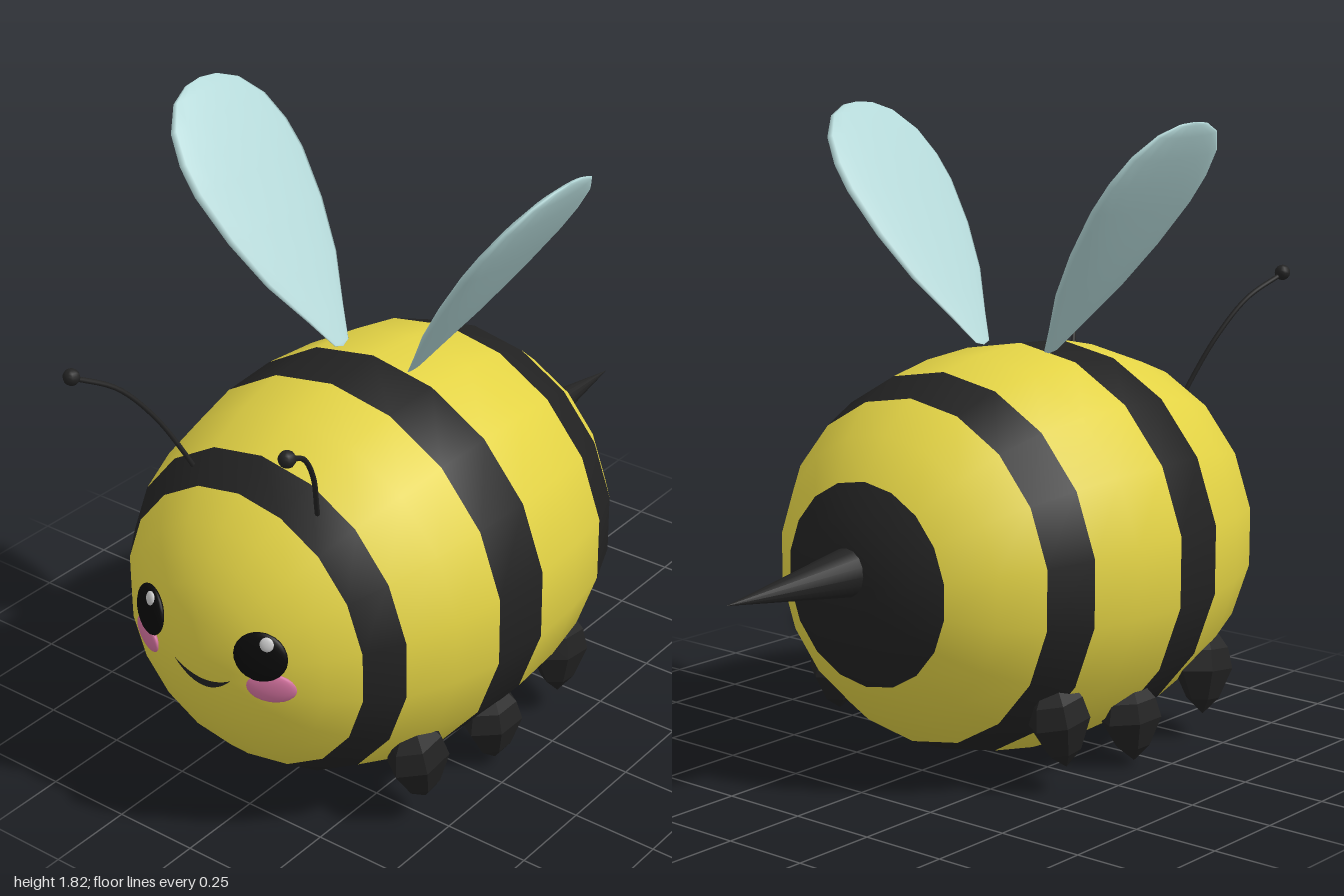
import * as THREE from 'three';

const CENTRE_Y = 0.587;
const mat = (color, extra = {}) => new THREE.MeshStandardMaterial({ color, ...extra });
const yellow = mat(0xe3d345);
const black = mat(0x222222);
const eyeBlack = mat(0x0a0a0a);
const darkFlat = mat(0x222222, { flatShading: true });
const white = mat(0xdddddd);
const pink = mat(0xd573a0);
const wingBlue = mat(0xb4d8d8, { side: THREE.DoubleSide });

// Body outline as [radius, z], tail to nose
const outline = [
  [0, -0.56], [0.09, -0.557], [0.2, -0.53], [0.285, -0.478], [0.4, -0.395], [0.485, -0.29],
  [0.54, -0.155], [0.568, 0], [0.58, 0.18], [0.568, 0.36], [0.535, 0.51], [0.48, 0.655],
  [0.41, 0.75], [0.34, 0.82], [0.27, 0.865], [0.2, 0.895], [0.1, 0.915], [0, 0.92],
];
// Colour bands as [name, material, first outline point, last outline point]
const bands = [
  ['tailCap', black, 0, 3], ['rearBody', yellow, 3, 5], ['rearStripe', black, 5, 6],
  ['midBody', yellow, 6, 8], ['middleStripe', black, 8, 9], ['frontBody', yellow, 9, 11],
  ['frontStripe', black, 11, 12], ['face', yellow, 12, 17],
];

function add(parent, name, geometry, material) {
  const mesh = new THREE.Mesh(geometry, material);
  mesh.name = name;
  parent.add(mesh);
  return mesh;
}

// One lathed band, with normals shared by the whole egg shape so bands join smoothly
function bandGeometry(first, last) {
  const pts = outline.slice(first, last + 1).map(([r, z]) => new THREE.Vector2(r, z));
  const geo = new THREE.LatheGeometry(pts, 18).rotateX(Math.PI / 2);
  const p = geo.attributes.position, n = new THREE.Vector3();
  for (let i = 0; i < p.count; i++) {
    n.set(p.getX(i) / 0.336, p.getY(i) / 0.336, (p.getZ(i) - 0.18) / 0.548).normalize();
    geo.attributes.normal.setXYZ(i, n.x, n.y, n.z);
  }
  return geo;
}

// Front surface depth at (x, y), for placing facial features
function faceZ(x, y) {
  const r = Math.hypot(x, y - CENTRE_Y);
  for (let i = outline.length - 1; i > 11; i--) {
    const [r0, z0] = outline[i], [r1, z1] = outline[i - 1];
    if (r <= r1) return z0 + (z1 - z0) * (r - r0) / (r1 - r0);
  }
  return 0.65;
}

// Flattened ellipsoid lying on the face
function faceSpot(parent, name, x, y, rx, ry, depth, lift, material) {
  const mesh = add(parent, name, new THREE.SphereGeometry(1, 20, 12), material);
  const z = faceZ(x, y);
  const normal = new THREE.Vector3(x / 0.336, (y - CENTRE_Y) / 0.336, (z - 0.18) / 0.548).normalize();
  mesh.scale.set(rx, ry, depth);
  mesh.quaternion.setFromUnitVectors(new THREE.Vector3(0, 0, 1), normal);
  mesh.position.set(x, y, z).addScaledVector(normal, lift);
}

const lathe = (profile, sides) =>
  new THREE.LatheGeometry(profile.map(([r, y]) => new THREE.Vector2(r, y)), sides);

export function createModel() {
  const model = new THREE.Group();
  model.name = 'bee';

  // Striped body
  const body = new THREE.Group();
  body.name = 'body';
  body.position.y = CENTRE_Y;
  model.add(body);
  for (const [name, material, first, last] of bands) add(body, name, bandGeometry(first, last), material);

  // Stinger
  const stinger = add(model, 'stinger', new THREE.ConeGeometry(0.072, 0.48, 16), black);
  stinger.rotation.x = -Math.PI / 2;
  stinger.position.set(0, 0.635, -0.76);

  // Face
  const face = new THREE.Group();
  face.name = 'facialFeatures';
  model.add(face);
  for (const s of [1, -1]) {
    faceSpot(face, 'cheek', s * 0.213, 0.557, 0.068, 0.045, 0.014, 0.004, pink);
    faceSpot(face, 'eye', s * 0.187, 0.648, 0.074, 0.07, 0.02, 0.008, eyeBlack);
    faceSpot(face, 'eyeHighlight', s * 0.185 + 0.018, 0.69, 0.019, 0.02, 0.008, 0.023, white);
  }
  const smile = new THREE.Shape();
  smile.moveTo(-0.098, 0.545);
  smile.quadraticCurveTo(0, 0.443, 0.098, 0.545);
  smile.quadraticCurveTo(0, 0.487, -0.098, 0.545);
  const smileGeo = new THREE.ShapeGeometry(smile, 14);
  const sp = smileGeo.attributes.position;
  for (let i = 0; i < sp.count; i++) sp.setZ(i, faceZ(sp.getX(i), sp.getY(i)) + 0.005);
  add(face, 'mouth', smileGeo, mat(0x222222, { side: THREE.DoubleSide }));

  // Wing: a teardrop lathe pressed flat; leg: a faceted pod
  const wingGeo = lathe([[0, -0.01], [0.03, 0], [0.075, 0.09], [0.15, 0.23], [0.2, 0.38], [0.227, 0.53],
    [0.223, 0.62], [0.195, 0.71], [0.135, 0.78], [0.065, 0.812], [0, 0.82]], 16);
  const legGeo = lathe([[0, -0.13], [0.055, -0.085], [0.1, 0.0], [0.085, 0.06], [0.035, 0.12], [0, 0.125]], 6);

  for (const s of [1, -1]) {
    const side = s > 0 ? 'left' : 'right';

    const wing = add(model, side + 'Wing', wingGeo, wingBlue);
    wing.scale.set(0.11, 1, 1);
    wing.position.set(s * 0.125, 1.16, 0.16);
    wing.rotation.z = -s * 0.63;

    // Antenna with a small ball on the end
    const path = new THREE.CatmullRomCurve3([
      [0.2, 0.94, 0.67], [0.22, 1.01, 0.7], [0.265, 1.14, 0.765], [0.31, 1.25, 0.855], [0.355, 1.315, 0.97],
    ].map(([x, y, z]) => new THREE.Vector3(s * x, y, z)));
    add(model, side + 'Antenna', new THREE.TubeGeometry(path, 20, 0.007, 8), black);
    const tip = add(model, side + 'AntennaTip', new THREE.SphereGeometry(0.023, 10, 8), black);
    tip.position.set(s * 0.355, 1.318, 0.972);

    // Three legs per side, the outer pairs splayed
    [['front', 0.52, 0.21, 0.12], ['middle', 0.175, 0.14, 0], ['rear', -0.15, 0.21, -0.12]]
      .forEach(([name, z, y, splay]) => {
        const leg = add(model, side + name[0].toUpperCase() + name.slice(1) + 'Leg', legGeo, darkFlat);
        leg.scale.set(0.8, name === 'middle' ? 0.93 : 1.02, 1);
        leg.position.set(s * 0.41, y, z);
        leg.rotation.set(splay, 0, s * 0.1);
      });
  }
  return model;
}
